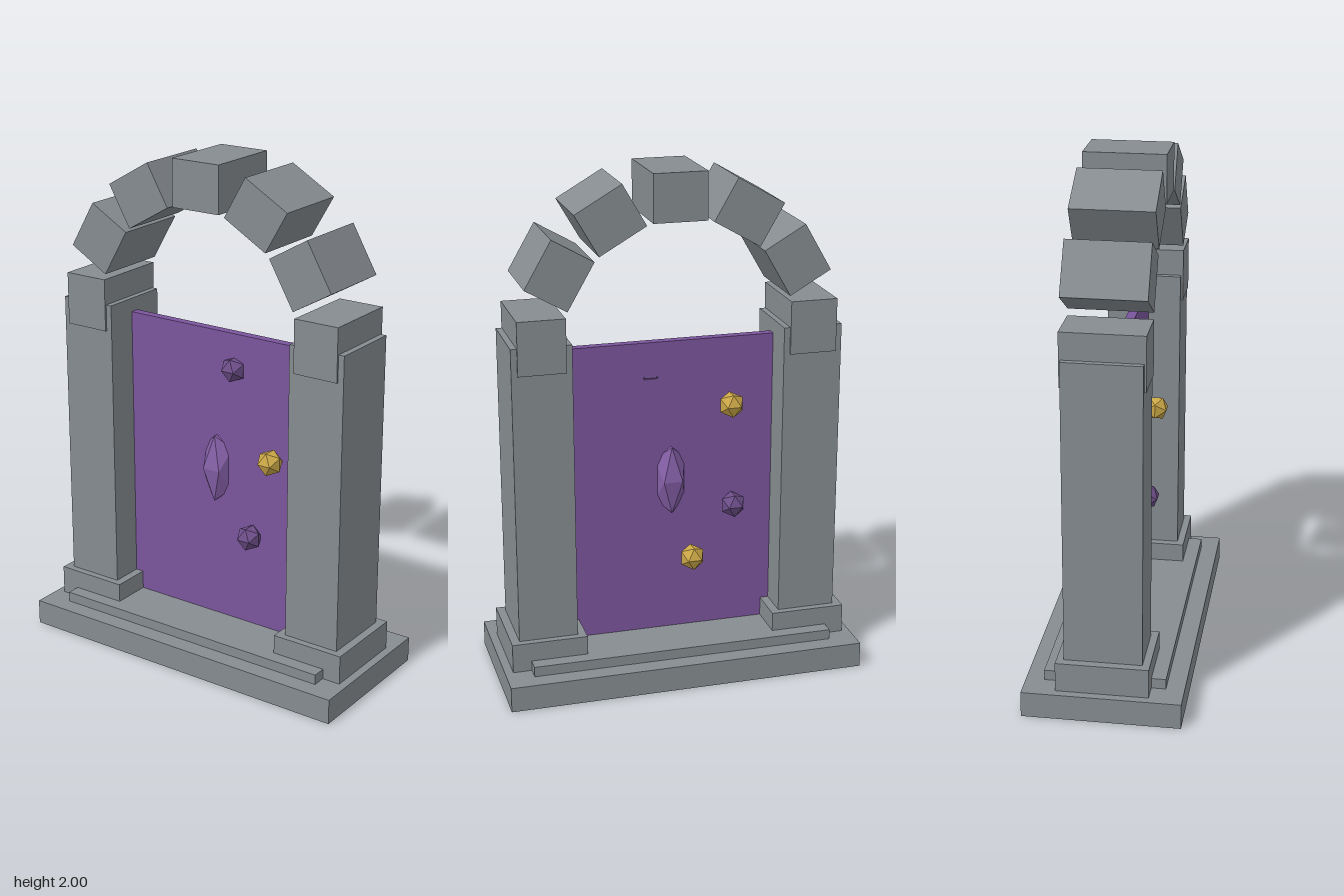
import * as THREE from 'three';

const mat = (name, color) => {
  const m = new THREE.MeshStandardMaterial({ color, flatShading: true });
  m.name = name;
  return m;
};

export function createModel() {
  const group = new THREE.Group();
  const stone = mat('stone grey', 0x868c90);
  const veil = mat('portal purple', 0x7a559c);
  const crystalMat = mat('crystal purple', 0x8560a8);
  const gemMat = mat('dark violet', 0x6c4e88);
  const gold = mat('gold', 0xc9a646);

  const add = (name, geometry, material, x, y, z) => {
    const mesh = new THREE.Mesh(geometry, material);
    mesh.name = name;
    mesh.position.set(x, y, z);
    group.add(mesh);
    return mesh;
  };
  // Box given by its bottom and top heights
  const block = (name, w, y0, y1, d, x = 0, material = stone) =>
    add(name, new THREE.BoxGeometry(w, y1 - y0, d), material, x, (y0 + y1) / 2, 0);

  // Stepped base
  block('base', 1.41, 0, 0.1, 0.6);
  block('step', 1.2, 0.1, 0.14, 0.46);

  // Pillars with plinths
  for (const side of [-1, 1]) {
    block('plinth', 0.296, 0.1, 0.215, 0.35, side * 0.525);
    block('pillar', 0.23, 0.215, 1.385, 0.294, side * 0.525);
  }

  // Seven arch stones spaced by 30 degrees
  for (let i = -3; i <= 3; i++) {
    const a = (i * Math.PI) / 6;
    const s = add('archStone', new THREE.BoxGeometry(0.207, 0.183, 0.31), stone,
      0.525 * Math.sin(a), 1.384 + 0.525 * Math.cos(a), 0);
    s.rotation.z = -a;
  }

  // Portal sheet
  block('portalPanel', 0.82, 0.14, 1.33, 0.036, 0, veil);

  // Tall crystal through the middle of the portal
  const gem = (r) => new THREE.IcosahedronGeometry(r).rotateZ(Math.PI / 2);
  add('crystal', gem(0.071).scale(1, 2.25, 1), crystalMat, 0, 0.77, 0);

  // Floating gems on both faces
  const gems = [
    [0.08, 1.19, 0.023, gemMat],
    [0.28, 0.87, 0.07, gold],
    [0.175, 0.525, 0.05, gemMat],
    [-0.23, 1.07, -0.065, gold],
    [-0.245, 0.65, -0.05, gemMat],
    [-0.075, 0.45, -0.065, gold],
  ];
  for (const [x, y, z, m] of gems) add('gem', gem(0.052), m, x, y, z);

  return group;
}
